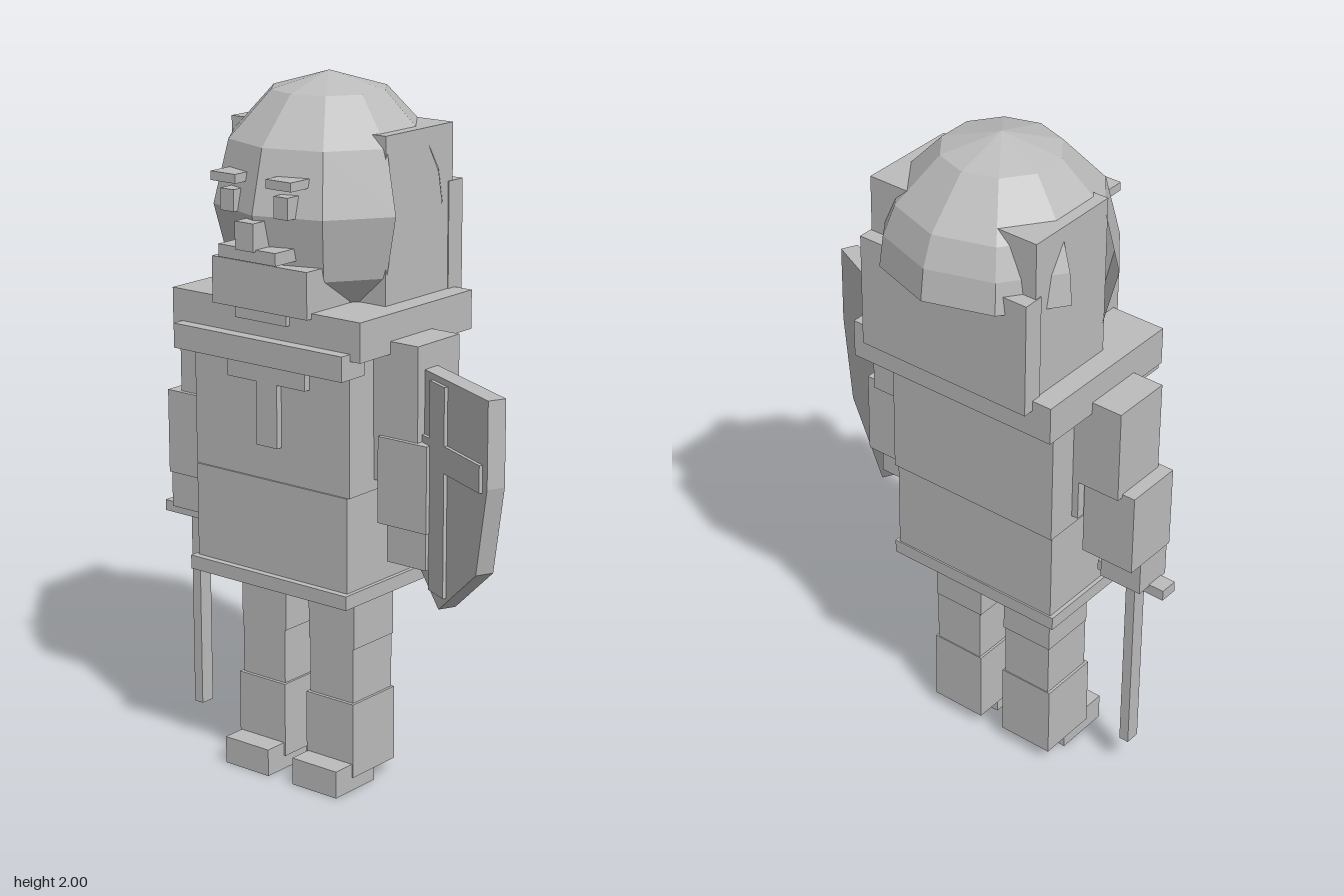
import * as THREE from 'three';

const stone = new THREE.MeshStandardMaterial({ color: 0xbcbcbc, side: THREE.DoubleSide });
stone.name = 'stone grey';
const CX = -0.13; // the figure's own centre line
const RAD = Math.PI / 180;

function addMesh(parent, name, geometry) {
  const mesh = new THREE.Mesh(geometry, stone);
  mesh.name = name;
  parent.add(mesh);
  return mesh;
}

// Box given by its limits on each axis
function box(parent, name, x0, x1, y0, y1, z0, z1) {
  const mesh = addMesh(parent, name, new THREE.BoxGeometry(x1 - x0, y1 - y0, z1 - z0));
  mesh.position.set((x0 + x1) / 2, (y0 + y1) / 2, (z0 + z1) / 2);
  return mesh;
}

// Box centred on the figure's centre line
const midBox = (parent, name, half, ...rest) => box(parent, name, CX - half, CX + half, ...rest);

// Mirrored pair of boxes; x limits are distances from the centre line
function pair(parent, name, near, far, ...rest) {
  box(parent, 'left' + name, CX + near, CX + far, ...rest);
  box(parent, 'right' + name, CX - far, CX - near, ...rest);
}

// Faceted patch of the ten-sided helmet, angles in degrees
function helmetPatch(parent, name, phi, phiSpan, theta, thetaSpan) {
  const g = new THREE.SphereGeometry(0.325, phiSpan / 36, thetaSpan / 30,
    phi * RAD, phiSpan * RAD, theta * RAD, thetaSpan * RAD).toNonIndexed();
  g.scale(1, 0.35 / 0.325, 1);
  g.computeVertexNormals();
  addMesh(parent, name, g).position.set(CX, 1.65, -0.02);
}

function createLegs() {
  const legs = new THREE.Group();
  legs.name = 'legs';
  pair(legs, 'Thigh', 0.042, 0.205, 0.42, 0.6, -0.045, 0.13);
  pair(legs, 'Knee', 0.047, 0.202, 0.26, 0.42, -0.042, 0.13);
  pair(legs, 'Shin', 0.04, 0.21, 0.04, 0.26, -0.045, 0.14);
  pair(legs, 'Foot', 0.045, 0.205, 0, 0.08, 0.04, 0.21);
  return legs;
}

function createBody() {
  const body = new THREE.Group();
  body.name = 'body';
  midBox(body, 'hem', 0.282, 0.59, 0.63, -0.135, 0.26);
  midBox(body, 'skirt', 0.27, 0.63, 0.9, -0.13, 0.24);
  midBox(body, 'tunic', 0.275, 0.9, 1.3, -0.14, 0.235);
  pair(body, 'TunicSide', 0.27, 0.295, 0.93, 1.3, -0.05, 0.13);
  midBox(body, 'collar', 0.332, 1.29, 1.4, -0.23, 0.26);
  midBox(body, 'chestBand', 0.298, 1.24, 1.31, 0.2, 0.296);
  midBox(body, 'emblemTop', 0.138, 1.18, 1.24, 0.23, 0.256);
  midBox(body, 'emblemStem', 0.037, 1, 1.18, 0.23, 0.254);
  return body;
}

function createArms() {
  const arms = new THREE.Group();
  arms.name = 'arms';
  pair(arms, 'UpperArm', 0.27, 0.425, 1.05, 1.325, -0.05, 0.132);
  pair(arms, 'Gauntlet', 0.3, 0.465, 0.815, 1.06, -0.03, 0.145);
  pair(arms, 'Hand', 0.328, 0.46, 0.71, 0.82, 0.02, 0.14);
  return arms;
}

function createSword() {
  const sword = new THREE.Group();
  sword.name = 'sword';
  box(sword, 'blade', -0.54, -0.51, 0.11, 0.69, 0.07, 0.115);
  box(sword, 'guard', -0.637, -0.415, 0.683, 0.715, 0.065, 0.12);
  return sword;
}

function createShield() {
  const shield = new THREE.Group();
  shield.name = 'shield';
  const outline = new THREE.Shape([
    [-0.26, 1.257], [-0.26, 1.02], [-0.205, 0.77], [0, 0.61],
    [0.205, 0.77], [0.26, 1.02], [0.26, 1.257],
  ].map(([x, y]) => new THREE.Vector2(x, y)));
  const plate = new THREE.ExtrudeGeometry(outline, { depth: 0.052, bevelEnabled: false });
  plate.translate(0, 0, -0.026);
  addMesh(shield, 'shieldPlate', plate);
  box(shield, 'crossUpright', -0.042, 0.042, 0.655, 1.24, 0.02, 0.036);
  box(shield, 'crossBar', -0.235, 0.235, 1.005, 1.08, 0.02, 0.036);
  shield.position.set(0.385, 0, 0.115);
  shield.rotation.y = -25 * RAD;
  return shield;
}

function createHead() {
  const head = new THREE.Group();
  head.name = 'head';
  midBox(head, 'headBlock', 0.27, 1.39, 1.86, -0.22, 0.075);
  midBox(head, 'neckGuard', 0.273, 1.37, 1.7, -0.262, -0.2);

  // Helmet: full crown, back flap and face shell, open over the sides
  helmetPatch(head, 'helmetCrown', 18, 360, 0, 60);
  helmetPatch(head, 'helmetBack', 198, 144, 60, 30);
  helmetPatch(head, 'faceShell', 18, 144, 60, 90);

  // Face
  pair(head, 'Brow', 0.053, 0.14, 1.73, 1.755, 0.2, 0.31);
  pair(head, 'Eye', 0.07, 0.118, 1.65, 1.71, 0.2, 0.298);
  midBox(head, 'nose', 0.032, 1.56, 1.637, 0.2, 0.338);
  midBox(head, 'moustache', 0.1, 1.53, 1.565, 0.18, 0.328);
  midBox(head, 'beard', 0.167, 1.385, 1.515, 0.1, 0.28);
  midBox(head, 'beardTip', 0.09, 1.355, 1.39, 0.18, 0.275);
  return head;
}

export function createModel() {
  const model = new THREE.Group();
  model.name = 'knight';
  model.add(createLegs(), createBody(), createArms(), createSword(), createShield(), createHead());
  return model;
}
